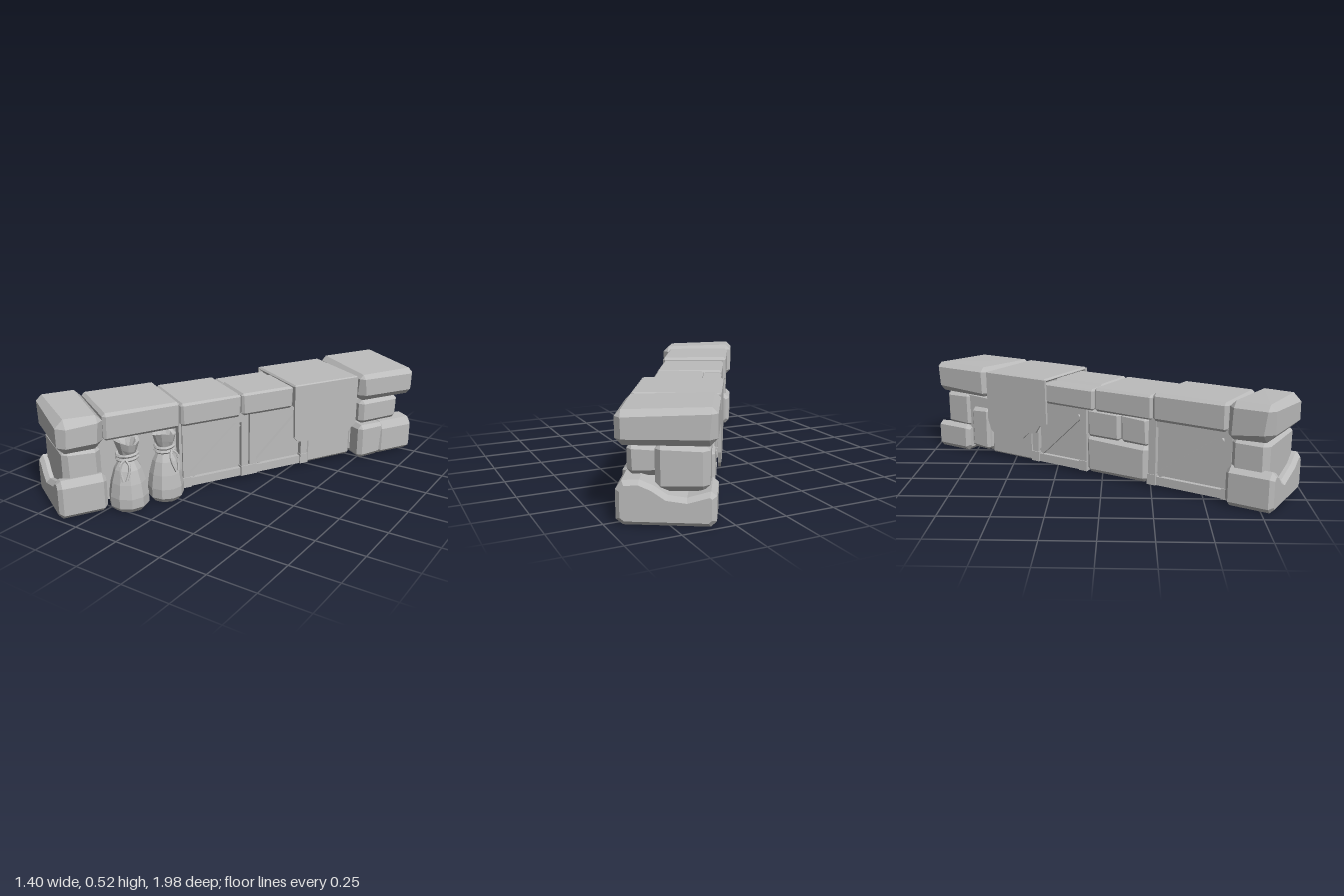
import * as THREE from 'three';
import { ConvexGeometry } from 'three/addons/geometries/ConvexGeometry.js';

// Local frame: x across the counter, z along it; the whole is turned at the end.
export function createModel() {
  const model = new THREE.Group();
  const counter = new THREE.Group();
  counter.name = 'counter';
  counter.rotation.y = -Math.PI / 6;
  model.add(counter);

  const mat = new THREE.MeshStandardMaterial({ color: 0xbcbcbc, flatShading: true, side: THREE.DoubleSide });
  mat.name = 'plainGrey';

  let seed = 7;
  const rand = () => ((seed = (seed * 16807) % 2147483647) / 2147483647);

  function add(geo, name, parent = counter) {
    const m = new THREE.Mesh(geo, mat);
    m.name = name;
    parent.add(m);
    return m;
  }

  // Worn block with chamfered edges; tilt raises the -x side and lowers the +x side
  function stone(name, [x0, x1], [y0, y1], [z0, z1], bevel = 0.02, tilt = 0) {
    const pts = [];
    for (const sx of [0, 1]) for (const sy of [0, 1]) for (const sz of [0, 1]) {
      const b = bevel * (0.7 + 0.6 * rand());
      for (let axis = 0; axis < 3; axis++) {
        const inset = [0, 1, 2].map(i => (i === axis ? 0 : b));
        pts.push(new THREE.Vector3(
          sx ? x1 - inset[0] : x0 + inset[0],
          (sy ? y1 - inset[1] : y0 + inset[1]) + (sy ? (sx ? -tilt : tilt) : 0),
          sz ? z1 - inset[2] : z0 + inset[2]));
      }
    }
    return add(new ConvexGeometry(pts), name);
  }

  function box(name, w, h, d, x, y, z, parent = counter) {
    const m = add(new THREE.BoxGeometry(w, h, d), name, parent);
    m.position.set(x, y, z);
    return m;
  }

  // Base stone with a chipped, wavy top edge, extruded along z
  function chippedStone(name, outline, z0, z1) {
    const bevel = 0.02;
    const shape = new THREE.Shape();
    outline.forEach(([x, y], i) => (i ? shape.lineTo(x, y) : shape.moveTo(x, y)));
    shape.closePath();
    const geo = new THREE.ExtrudeGeometry(shape, {
      depth: z1 - z0 - 2 * bevel, bevelEnabled: true, bevelSize: bevel,
      bevelOffset: -bevel, bevelThickness: bevel, bevelSegments: 1,
    });
    geo.translate(0, 0, z0 + bevel);
    add(geo, name);
  }

  // Top slabs, from the near end to the far end
  stone('topSlabNear', [-0.218, 0.213], [0.335, 0.513], [0.802, 1.025], 0.035, 0.008);
  stone('topSlabOverSacks', [-0.2, 0.172], [0.36, 0.5], [0.4, 0.795], 0.014, 0.003);
  stone('topSlabMiddle', [-0.187, 0.165], [0.36, 0.483], [0.055, 0.392], 0.012, 0.002);
  stone('topSlabNotched', [-0.09, 0.163], [0.36, 0.482], [-0.26, 0.05], 0.012);
  stone('topSlabPatch', [-0.187, -0.08], [0.36, 0.473], [-0.26, 0.05], 0.012);
  stone('topSlabUnderCloth', [-0.19, 0.185], [0.36, 0.488], [-0.645, -0.255], 0.012);
  stone('topSlabFar', [-0.207, 0.224], [0.345, 0.505], [-1.025, -0.658], 0.028, 0.008);

  // Near end pillar
  stone('nearMiddleStone', [-0.19, 0.172], [0.09, 0.345], [0.81, 1.0], 0.03);
  chippedStone('nearBaseStone', [[-0.215, 0.03], [-0.19, 0.005], [0.175, 0.005], [0.205, 0.03],
    [0.205, 0.17], [0.18, 0.205], [0.14, 0.2], [0.09, 0.165], [-0.05, 0.125], [-0.09, 0.145],
    [-0.13, 0.185], [-0.18, 0.205], [-0.215, 0.175]], 0.8, 1.04);

  // Far end pillar
  stone('farMiddleStone', [-0.175, 0.06], [0.14, 0.35], [-0.99, -0.8], 0.025);
  stone('farMiddleFrontStone', [0.0, 0.185], [0.195, 0.338], [-0.95, -0.69], 0.025);
  stone('farInnerStone', [-0.16, 0.13], [0.02, 0.35], [-0.86, -0.64], 0.02);
  stone('farBackColumn', [-0.185, -0.08], [0.03, 0.27], [-0.79, -0.66], 0.018);
  chippedStone('farBaseStone', [[-0.205, 0.03], [-0.18, 0.005], [0.19, 0.005], [0.222, 0.03],
    [0.222, 0.16], [0.195, 0.2], [0.12, 0.205], [0.06, 0.18], [0.0, 0.14], [-0.08, 0.13],
    [-0.18, 0.16], [-0.205, 0.14]], -1.035, -0.8);
  stone('farBaseFrontStone', [-0.02, 0.222], [0.005, 0.2], [-0.83, -0.665], 0.025);

  // Stones below the cloth and in the back wall
  stone('clothBaseStone', [-0.17, 0.155], [0.02, 0.21], [-0.645, -0.355], 0.012);
  stone('clothUpperStone', [-0.15, 0.14], [0.2, 0.37], [-0.645, -0.355], 0.012);
  stone('backBigStone', [-0.178, -0.09], [0.02, 0.215], [0.005, 0.365], 0.018);
  stone('backSmallStone', [-0.172, -0.09], [0.215, 0.365], [0.005, 0.2], 0.016);
  stone('backSmallStone', [-0.172, -0.09], [0.215, 0.365], [0.205, 0.365], 0.016);

  // Wooden crate front: recessed board, frame and diagonal brace
  function cratePanel(x, z0, z1) {
    const g = new THREE.Group();
    g.name = 'cratePanel';
    const w = z1 - z0, s = Math.sign(x), post = 0.04, y0 = 0.02, y1 = 0.37, h = y1 - y0;
    const mid = (y0 + y1) / 2;
    box('crateBoard', 0.012, h, w, -s * 0.03, mid, 0, g);
    for (const e of [-1, 1]) {
      box('cratePost', 0.034, h, post, -s * 0.014, mid, e * (w - post) / 2, g);
      box('crateRail', 0.026, 0.045, w - post, -s * 0.014, mid + e * (h - 0.045) / 2, 0, g);
      box('crateFoot', 0.04, 0.055, post + 0.008, -s * 0.012, y0 + 0.0275, e * (w - post) / 2, g);
    }
    const dz = w - 2 * post, dy = h - 0.09;
    const brace = box('crateBrace', 0.02, 0.032, Math.hypot(dz, dy) - 0.03, -s * 0.017, mid, 0, g);
    brace.rotation.x = s * Math.atan2(dy, dz);
    g.position.set(x, 0, (z0 + z1) / 2);
    counter.add(g);
  }
  cratePanel(0.147, 0.008, 0.385);
  cratePanel(0.147, -0.36, 0.0);
  cratePanel(-0.17, 0.372, 0.815);
  cratePanel(-0.17, -0.355, 0.0);
  box('sackRecessWall', 0.02, 0.35, 0.42, 0.09, 0.195, 0.6);
  box('crateSide', 0.06, 0.35, 0.015, 0.11, 0.195, 0.392);

  // Draped cloth: top sheet and two hanging flaps with ragged hems
  stone('clothTop', [-0.207, 0.205], [0.478, 0.497], [-0.642, -0.24], 0.007);
  function flap(name, x, hem) {
    const shape = new THREE.Shape();
    shape.moveTo(-0.24, 0.492);
    hem.forEach(([z, y]) => shape.lineTo(z, y));
    shape.lineTo(-0.642, 0.492);
    shape.closePath();
    const geo = new THREE.ExtrudeGeometry(shape, { depth: 0.014, bevelEnabled: false });
    geo.rotateY(-Math.PI / 2); // shape x runs along z
    geo.translate(x, 0, 0);
    add(geo, name);
  }
  flap('clothFrontFlap', 0.206, [[-0.245, 0.2], [-0.265, 0.178], [-0.34, 0.172], [-0.39, 0.155],
    [-0.47, 0.153], [-0.54, 0.17], [-0.58, 0.165], [-0.61, 0.2], [-0.64, 0.225]]);
  flap('clothBackFlap', -0.193, [[-0.235, 0.25], [-0.28, 0.235], [-0.31, 0.19], [-0.36, 0.18],
    [-0.4, 0.145], [-0.48, 0.135], [-0.53, 0.15], [-0.58, 0.135], [-0.62, 0.165], [-0.64, 0.22]]);

  // Tied sacks
  function sack(x, z, size, turn) {
    const g = new THREE.Group();
    g.name = 'sack';
    const profile = [[0, 0.005], [0.075, 0.005], [0.096, 0.03], [0.097, 0.08], [0.085, 0.15],
      [0.066, 0.215], [0.04, 0.262], [0.036, 0.282], [0.05, 0.315], [0.062, 0.355], [0.045, 0.35],
      [0.02, 0.3], [0, 0.295]].map(([r, y]) => new THREE.Vector2(r * size, y));
    const geo = new THREE.LatheGeometry(profile, 10);
    // folds at the mouth
    const p = geo.attributes.position;
    for (let i = 0; i < p.count; i++) {
      const a = Math.atan2(p.getZ(i), p.getX(i));
      const k = p.getY(i) > 0.3 ? 0.18 : 0.04;
      const f = 1 + k * Math.cos(5 * a);
      p.setXYZ(i, p.getX(i) * f, p.getY(i) + (k > 0.1 ? 0.01 * Math.sin(2 * a) : 0), p.getZ(i) * f);
    }
    geo.computeVertexNormals();
    add(geo, 'sackBody', g);
    for (const y of [0.268, 0.288]) {
      const rope = add(new THREE.TorusGeometry(0.05 * size, 0.009, 5, 12), 'sackRope', g);
      rope.rotation.x = Math.PI / 2 + 0.08;
      rope.position.y = y;
    }
    for (const e of [-1, 1]) {
      const tail = new THREE.CatmullRomCurve3([[0.052, 0.275, 0], [0.07, 0.25, e * 0.022],
        [0.08, 0.215, e * 0.02], [0.092, 0.175, e * 0.008]].map(v => new THREE.Vector3(...v)));
      add(new THREE.TubeGeometry(tail, 8, 0.007, 5), 'ropeTail', g);
    }
    g.position.set(x, 0, z);
    g.rotation.y = turn;
    counter.add(g);
  }
  sack(0.185, 0.69, 1.02, -0.5);
  sack(0.17, 0.49, 0.94, 0.35);

  return model;
}
